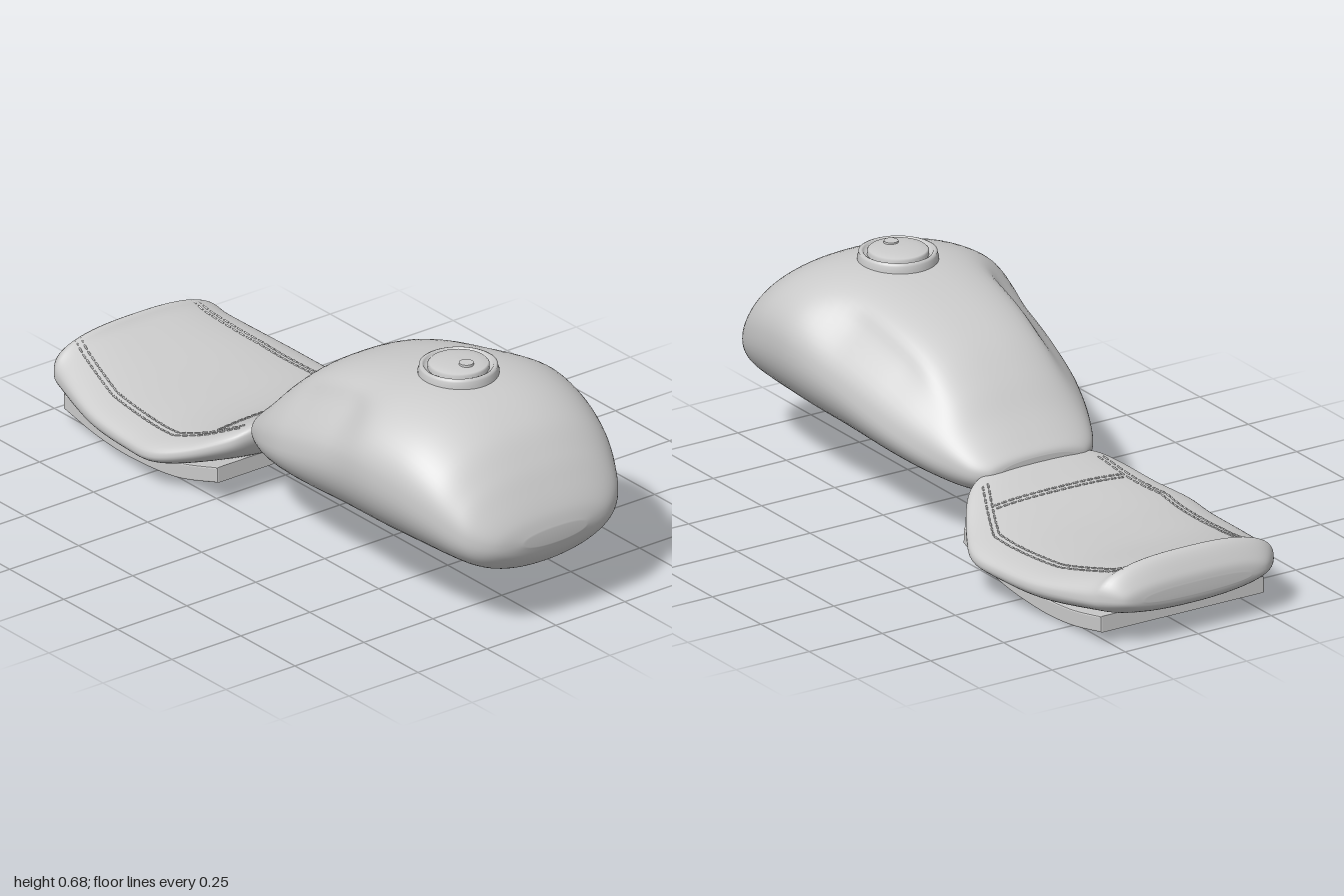
import * as THREE from 'three';

const smooth = THREE.MathUtils.smoothstep;

// Smooth spline through rows of numbers; t runs from 0 to rows.length - 1
function sample(rows, t) {
  const last = rows.length - 1;
  const i = Math.min(Math.floor(t), last - 1), f = t - i;
  const [a, b, c, d] = [i - 1, i, i + 1, i + 2].map(k => rows[Math.min(Math.max(k, 0), last)]);
  return b.map((p, k) => p + 0.5 * f * (c[k] - a[k] + f * (2 * a[k] - 5 * p + 4 * c[k] - d[k]
    + f * (3 * (p - c[k]) + d[k] - a[k]))));
}

// Closed body lofted along x from rows of [x, bottom, top, halfWidth, widestY]
function loft(rows, nTop, nBottom, widthScale = () => 1) {
  const rings = (rows.length - 1) * 6, seg = 72, pos = [], idx = [];
  for (let i = 0; i <= rings; i++) {
    const [x, bottom, top, w, mid] = sample(rows, i / 6);
    for (let j = 0; j < seg; j++) {
      const a = j / seg * Math.PI * 2, c = Math.cos(a), s = Math.sin(a);
      const e = 2 / (s > 0 ? nTop : nBottom);
      const h = s > 0 ? top - mid : mid - bottom;
      const z = w * Math.sign(c) * Math.abs(c) ** e * widthScale(x, Math.atan2(s, Math.abs(c)));
      pos.push(x, mid + h * Math.sign(s) * Math.abs(s) ** e, z);
    }
  }
  for (let i = 0; i < rings; i++) for (let j = 0; j < seg; j++) {
    const k = (j + 1) % seg, a = i * seg, b = a + seg;
    idx.push(a + j, b + j, a + k, a + k, b + j, b + k);
  }
  const first = pos.length / 3, end = rings * seg;
  const A = rows[0], B = rows[rows.length - 1];
  pos.push(A[0], A[4], 0, B[0], B[4], 0);
  for (let j = 0; j < seg; j++) {
    const k = (j + 1) % seg;
    idx.push(first, j, k, first + 1, end + k, end + j);
  }
  const g = new THREE.BufferGeometry();
  g.setAttribute('position', new THREE.Float32BufferAttribute(pos, 3));
  g.setIndex(idx);
  g.computeVertexNormals();
  return g;
}

const tankRows = [
  [-0.18, 0.215, 0.268, 0.13, 0.24],
  [-0.172, 0.195, 0.285, 0.17, 0.24],
  [-0.14, 0.16, 0.315, 0.21, 0.245],
  [-0.08, 0.145, 0.37, 0.245, 0.26],
  [0, 0.145, 0.45, 0.28, 0.28],
  [0.1, 0.148, 0.527, 0.313, 0.31],
  [0.22, 0.15, 0.582, 0.337, 0.345],
  [0.38, 0.154, 0.622, 0.358, 0.39],
  [0.55, 0.158, 0.64, 0.378, 0.425],
  [0.7, 0.162, 0.622, 0.363, 0.41],
  [0.82, 0.165, 0.565, 0.335, 0.375],
  [0.9, 0.17, 0.485, 0.3, 0.335],
  [0.95, 0.187, 0.415, 0.262, 0.31],
  [0.985, 0.225, 0.355, 0.2, 0.295],
  [1, 0.265, 0.31, 0.11, 0.288],
];

const padRows = [
  [-1, 0.125, 0.16, 0.18, 0.14],
  [-0.99, 0.1, 0.195, 0.245, 0.145],
  [-0.945, 0.075, 0.248, 0.295, 0.145],
  [-0.89, 0.065, 0.222, 0.315, 0.135],
  [-0.7, 0.038, 0.178, 0.36, 0.115],
  [-0.52, 0.038, 0.166, 0.374, 0.107],
  [-0.4, 0.052, 0.173, 0.377, 0.113],
  [-0.3, 0.08, 0.196, 0.33, 0.14],
  [-0.2, 0.12, 0.243, 0.262, 0.185],
  [-0.16, 0.16, 0.258, 0.21, 0.212],
  [-0.145, 0.195, 0.245, 0.15, 0.222],
];
const PAD_TOP = 2.6;

// Height of the seat pad above a point
function padY(x, z) {
  let lo = 0, hi = padRows.length - 1;
  for (let i = 0; i < 24; i++) {
    const m = (lo + hi) / 2;
    if (sample(padRows, m)[0] < x) lo = m; else hi = m;
  }
  const [, , top, w, mid] = sample(padRows, lo);
  const u = Math.min(Math.abs(z) / w, 1);
  return mid + (top - mid) * (1 - u ** PAD_TOP) ** (1 / PAD_TOP);
}

export function createModel() {
  const model = new THREE.Group();
  const grey = new THREE.MeshStandardMaterial({ color: 0xcccccc });
  grey.name = 'plain grey';
  const add = (name, geometry, parent = model) => {
    const m = new THREE.Mesh(geometry, grey);
    m.name = name;
    parent.add(m);
    return m;
  };

  // Fuel tank with knee hollows on both sides
  add('fuelTank', loft(tankRows, 2.35, 2.1, (x, a) => {
    const along = smooth(x, -0.12, 0.18) * (1 - smooth(x, 0.36, 0.58));
    return 1 - 0.17 * along * Math.exp(-(((a - 0.62) / 0.36) ** 2));
  }));

  // Filler cap: stepped ring, low dome and lock button
  const cap = new THREE.Group();
  cap.name = 'fillerCap';
  cap.position.set(0.55, 0, 0);
  model.add(cap);
  const ring = [[0.117, 0.61], [0.117, 0.64], [0.113, 0.65], [0.113, 0.657], [0.106, 0.66],
    [0.1, 0.657], [0.097, 0.648], [0.088, 0.648]];
  const dome = [[0.089, 0.635], [0.089, 0.659], [0.084, 0.664], [0.06, 0.669], [0.03, 0.671], [0, 0.672]];
  const lathe = pts => new THREE.LatheGeometry(pts.map(p => new THREE.Vector2(...p)), 48);
  add('capRing', lathe(ring), cap);
  add('capDome', lathe(dome), cap);
  add('capLock', new THREE.CylinderGeometry(0.021, 0.022, 0.012, 24), cap).position.set(0.036, 0.67, 0);

  // Seat pad
  add('seatPad', loft(padRows, PAD_TOP, 2.2));

  // Curved seat base under the pad
  const under = [[-0.915, 0.042], [-0.76, 0.013], [-0.6, 0.005], [-0.4, 0.023], [-0.213, 0.077]];
  const shape = new THREE.Shape();
  shape.moveTo(...under[0]);
  shape.splineThru(under.slice(1).map(p => new THREE.Vector2(...p)));
  shape.lineTo(-0.213, 0.116);
  shape.splineThru([...under].reverse().slice(1).map(p => new THREE.Vector2(p[0], p[1] + 0.04)));
  shape.closePath();
  const base = new THREE.ExtrudeGeometry(shape, {
    depth: 0.55, curveSegments: 12, bevelSize: 0.005, bevelThickness: 0.005, bevelSegments: 2,
  });
  base.translate(0, 0, -0.275);
  add('seatBase', base);

  // Stitches laid along the pad surface
  const stitches = new THREE.Group();
  stitches.name = 'stitching';
  model.add(stitches);
  const thread = new THREE.CapsuleGeometry(0.0028, 0.014, 2, 6);
  const up = new THREE.Vector3(0, 1, 0);
  const sew = (x0, z0, x1, z1) => {
    const n = Math.round(Math.hypot(x1 - x0, z1 - z0) / 0.024);
    const at = t => {
      const x = x0 + (x1 - x0) * t, z = z0 + (z1 - z0) * t;
      return new THREE.Vector3(x, padY(x, z) + 0.001, z);
    };
    for (let i = 0; i < n; i++) {
      const a = at(i / n), b = at((i + 1) / n);
      const m = add('stitch', thread, stitches);
      m.position.copy(a).lerp(b, 0.5);
      m.quaternion.setFromUnitVectors(up, b.sub(a).normalize());
    }
  };
  const seam = [[-0.945, 0.218], [-0.7, 0.275], [-0.39, 0.295], [-0.195, 0.205]];
  for (const side of [1, -1]) for (const inset of [0, 0.018])
    for (let i = 0; i < 3; i++) {
      const [a, b] = [seam[i], seam[i + 1]];
      sew(a[0], side * (a[1] - inset), b[0], side * (b[1] - inset));
    }
  for (const x of [-0.287, -0.275]) sew(x, -0.22, x, 0.22);

  return model;
}
